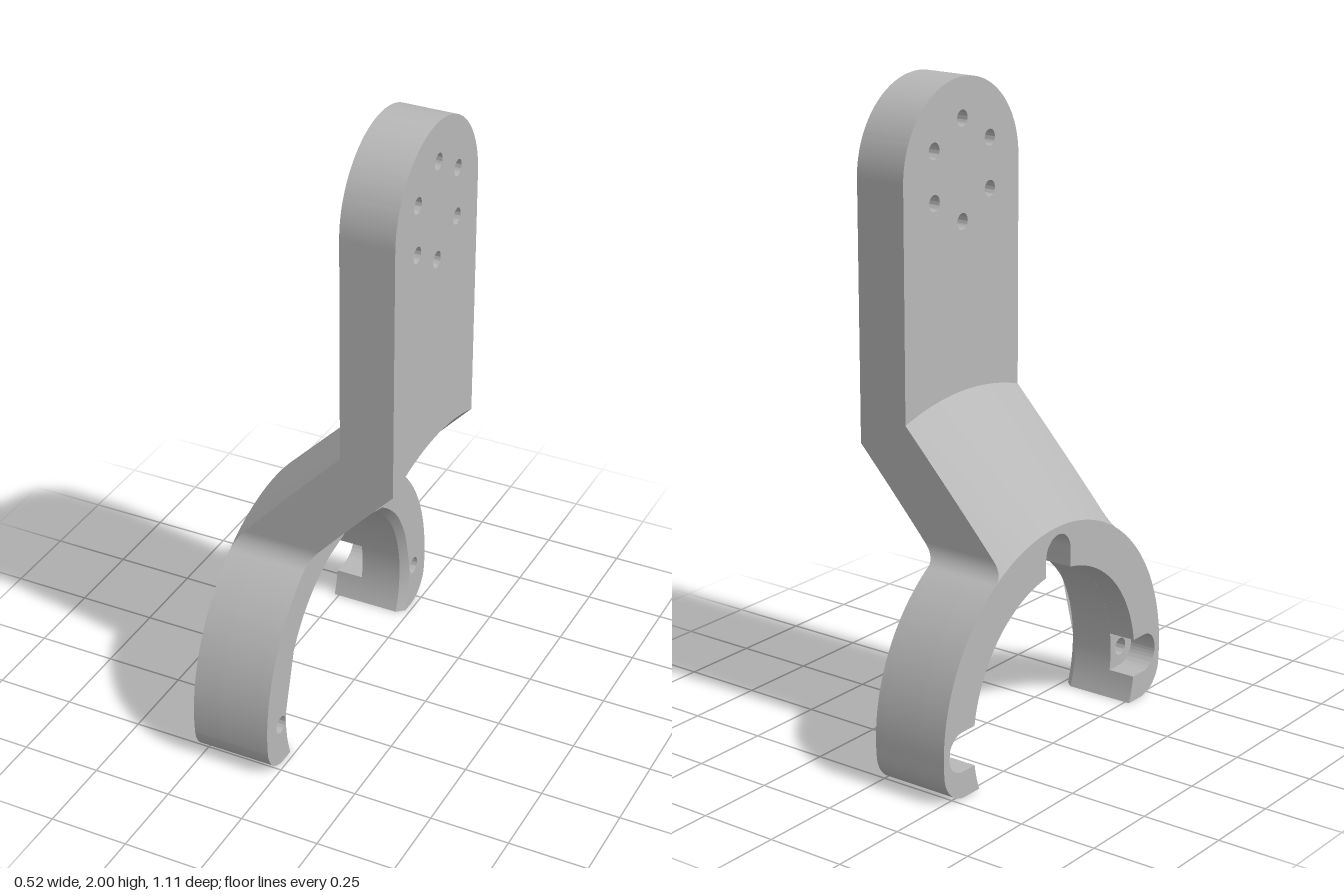
import * as THREE from 'three';
import { toCreasedNormals } from 'three/addons/utils/BufferGeometryUtils.js';

// Clamp ring: axis along x at height CY
const CY = 0.145, R_OUT = 0.555, R_IN = 0.415, R_BEVEL = 0.435, R_BOLT = 0.468;
const X_BACK = -0.265, X_FRONT = -0.015;
// Upright plate
const P_BACK = 0.09, P_FRONT = 0.26, HALF = 0.275, SEAM = 1.06, P_TOP = 1.725;

const PI = Math.PI;
const lerp = THREE.MathUtils.lerp;

function hole(shape, x, y, r) {
  const p = new THREE.Path();
  p.absarc(x, y, r, 0, PI * 2, true);
  shape.holes.push(p);
}

// Open ring with rounded feet; slots are cut outward from the inner wall
function ringShape(slotRadius) {
  const s = new THREE.Shape();
  const foot = Math.sqrt(R_IN ** 2 - CY ** 2);
  const a = Math.asin(CY / R_IN);
  const fr = 0.1, fx = Math.sqrt((R_OUT - fr) ** 2 - (CY - fr) ** 2);
  const fa = Math.atan2(CY - fr, fx);
  s.moveTo(foot, 0);
  s.absarc(fx, fr, fr, -PI / 2, -fa, false);
  s.absarc(0, CY, R_OUT, -fa, PI + fa, false);
  s.absarc(-fx, fr, fr, PI + fa, PI * 1.5, false);
  s.lineTo(-foot, 0);
  let start = PI + a;
  if (slotRadius) {
    const d = Math.asin(slotRadius / R_IN);
    for (const t of [PI, PI / 2, 0]) {
      s.absarc(0, CY, R_IN, start, t + d, true);
      s.absarc(Math.cos(t) * R_BOLT, CY + Math.sin(t) * R_BOLT, slotRadius, t + PI / 2, t - PI / 2, true);
      start = t - d;
    }
  } else {
    for (const t of [0, PI / 2, PI]) hole(s, Math.cos(t) * R_BOLT, CY + Math.sin(t) * R_BOLT, 0.028);
  }
  s.absarc(0, CY, R_IN, start, -a, true);
  return s;
}

function extrude(shape, depth) {
  return new THREE.ExtrudeGeometry(shape, { depth, bevelEnabled: false, curveSegments: 40 });
}

// Turns an extrusion so its depth runs along +x from x0
function alongX(geometry, x0) {
  geometry.rotateY(PI / 2);
  geometry.translate(x0, 0, 0);
  return toCreasedNormals(geometry, 0.5);
}

// Cross-section at z between the two 45 degree cones; xl and xr are the upper ends
function armSlice(z, xl, xr, top) {
  const steps = 5, left = [], right = [];
  const cone = (x, x0) => CY + Math.sqrt((R_OUT + x - x0) ** 2 - z * z);
  for (let i = 0; i <= steps; i++) {
    const l = lerp(X_BACK, xl, i / steps), r = lerp(X_FRONT, xr, i / steps);
    left.push([l, cone(l, X_BACK), z]);
    right.push([r, cone(r, X_FRONT), z]);
  }
  if (top) {
    left.push([xl, top, z]);
    right.push([xr, top, z]);
  }
  return [...left, ...right.reverse()];
}

// Solid through a row of closed sections ordered by rising z
function loft(slices) {
  const pos = [], n = slices[0].length;
  const quad = (a, b, c, d) => pos.push(...a, ...b, ...c, ...a, ...c, ...d);
  for (let j = 0; j < slices.length - 1; j++) {
    const s = slices[j], t = slices[j + 1];
    for (let k = 0; k < n; k++) {
      const m = (k + 1) % n;
      quad(s[k], t[k], t[m], s[m]);
    }
  }
  const first = slices[0], last = slices[slices.length - 1];
  for (let k = 0; k < n / 2 - 1; k++) {
    quad(last[k], last[n - 1 - k], last[n - 2 - k], last[k + 1]);
    quad(first[k], first[k + 1], first[n - 2 - k], first[n - 1 - k]);
  }
  const g = new THREE.BufferGeometry();
  g.setAttribute('position', new THREE.Float32BufferAttribute(pos, 3));
  return toCreasedNormals(g, 0.4);
}

export function createModel() {
  const group = new THREE.Group();
  const metal = new THREE.MeshStandardMaterial({ color: 0xb8b8b8 });
  metal.name = 'grey metal';
  const add = (name, geometry) => {
    const m = new THREE.Mesh(geometry, metal);
    m.name = name;
    group.add(m);
  };

  // Ring in three layers: slotted back, drilled middle, bevelled front
  const slotDepth = 0.09, bevel = 0.025;
  add('ringSlottedBack', alongX(extrude(ringShape(0.062), slotDepth), X_BACK));
  add('ringMiddle', alongX(extrude(ringShape(0), X_FRONT - X_BACK - slotDepth - bevel), X_BACK + slotDepth));

  const front = extrude(ringShape(0), bevel);
  const p = front.attributes.position;
  for (let i = 0; i < p.count; i++) {
    const x = p.getX(i), y = p.getY(i) - CY;
    if (p.getZ(i) < bevel / 2 || Math.abs(Math.hypot(x, y) - R_IN) > 1e-3) continue;
    const k = R_BEVEL / R_IN;
    if (p.getY(i) < 1e-4) p.setX(i, Math.sign(x) * Math.sqrt(R_BEVEL ** 2 - CY ** 2));
    else p.setXY(i, x * k, Math.max(0, CY + y * k));
  }
  add('ringBevelledFront', alongX(front, X_FRONT - bevel));

  // Upright plate with rounded top and a circle of six holes
  const plate = new THREE.Shape();
  plate.moveTo(-HALF, SEAM);
  plate.lineTo(HALF, SEAM);
  plate.absarc(0, P_TOP, HALF, 0, PI, false);
  plate.closePath();
  for (let i = 0; i < 6; i++) {
    const t = PI / 6 + (i * PI) / 3;
    hole(plate, Math.cos(t) * 0.153, P_TOP + Math.sin(t) * 0.153, 0.025);
  }
  add('uprightPlate', alongX(extrude(plate, P_FRONT - P_BACK), P_BACK));

  // Slanted arm with conical faces
  const arm = [];
  for (let i = 0; i <= 24; i++) arm.push(armSlice(lerp(-HALF, HALF, i / 24), P_BACK, P_FRONT, SEAM));
  add('slantedArm', loft(arm));

  // Fillets where the arm sides run into the ring
  const r = 0.07, zc = HALF + r;
  const yc = CY + Math.sqrt((R_OUT + r) ** 2 - zc ** 2);
  const zEnd = (zc * R_OUT) / (R_OUT + r);
  for (const side of [1, -1]) {
    const slices = [];
    for (let i = 0; i <= 10; i++) {
      const z = lerp(HALF, zEnd, (i / 10) ** 2);
      const y = yc - Math.sqrt(Math.max(0, r * r - (z - zc) ** 2));
      const rise = Math.max(0, Math.hypot(z, y - CY) - R_OUT);
      slices.push(armSlice(z * side, X_BACK + rise, X_FRONT + rise));
    }
    if (side < 0) slices.reverse();
    add(side > 0 ? 'frontFillet' : 'backFillet', loft(slices));
  }
  return group;
}
